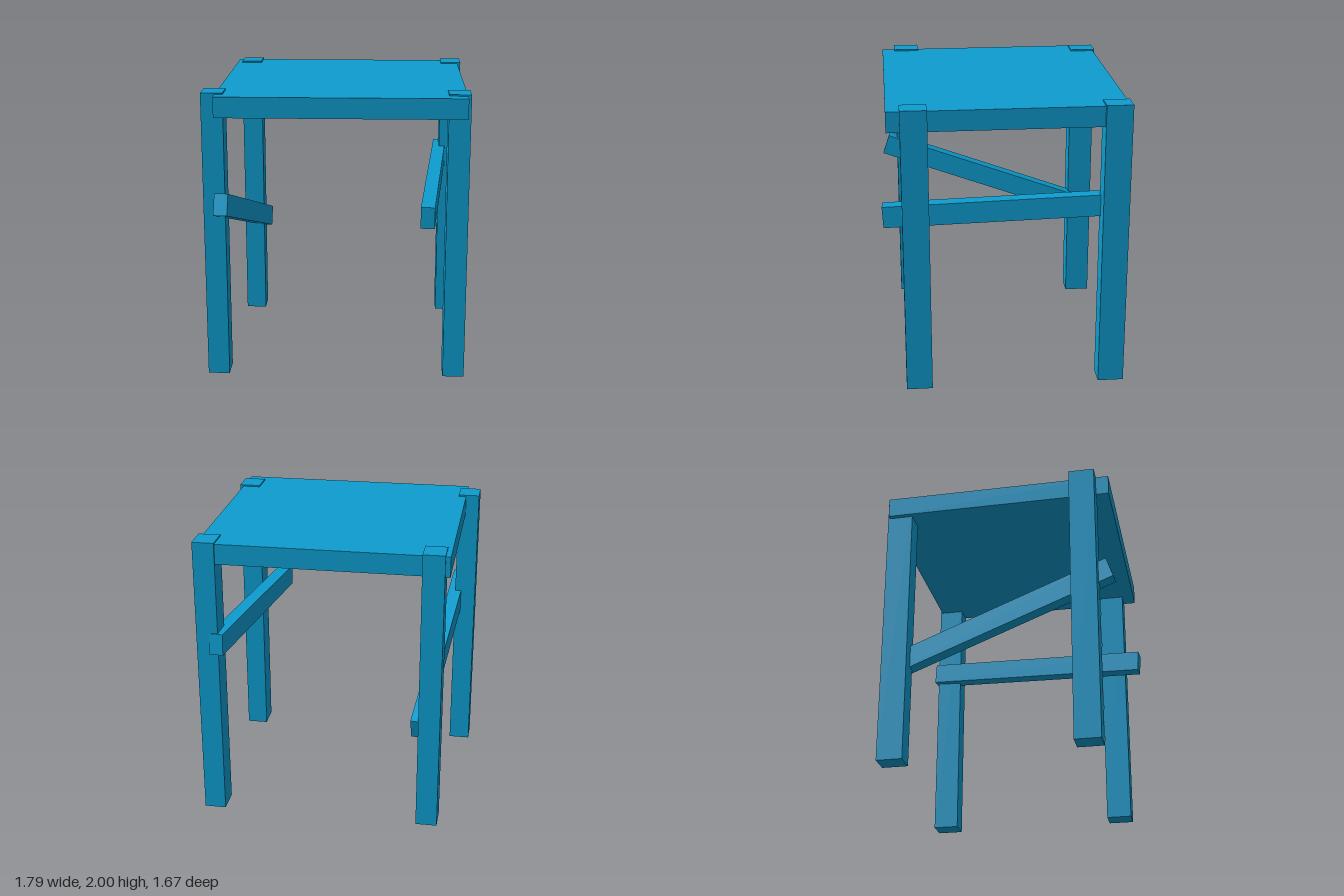
import * as THREE from 'three';

export function createModel() {
  const group = new THREE.Group();
  const material = new THREE.MeshStandardMaterial({ color: 0x0d9ccf });

  const addBox = (name, w, h, d, x, y, z) => {
    const mesh = new THREE.Mesh(new THREE.BoxGeometry(w, h, d), material);
    mesh.name = name;
    mesh.position.set(x, y, z);
    group.add(mesh);
    return mesh;
  };

  // Seat slab
  addBox('seat', 1.675, 0.14, 1.59, 0.033, 1.92, -0.005);

  // Four legs, ending just above the seat
  const legs = [
    ['frontLeftLeg', 0.82, 0.612],
    ['frontRightLeg', -0.825, 0.612],
    ['backLeftLeg', 0.82, -0.723],
    ['backRightLeg', -0.697, -0.723],
  ];
  for (const [name, x, z] of legs) addBox(name, 0.148, 2, 0.178, x, 1, z);

  // Slanted side rails, each running between the centres of its two ends
  const addRail = (name, back, front) => {
    const a = new THREE.Vector3(...back);
    const b = new THREE.Vector3(...front);
    const mid = a.clone().lerp(b, 0.5);
    addBox(name, 0.095, 0.15, a.distanceTo(b), mid.x, mid.y, mid.z).lookAt(b);
  };
  addRail('leftRail', [0.757, 1.283, -0.825], [0.617, 1.19, 0.825]);
  addRail('rightRail', [-0.618, 0.73, -0.78], [-0.772, 1.257, 0.783]);

  return group;
}
